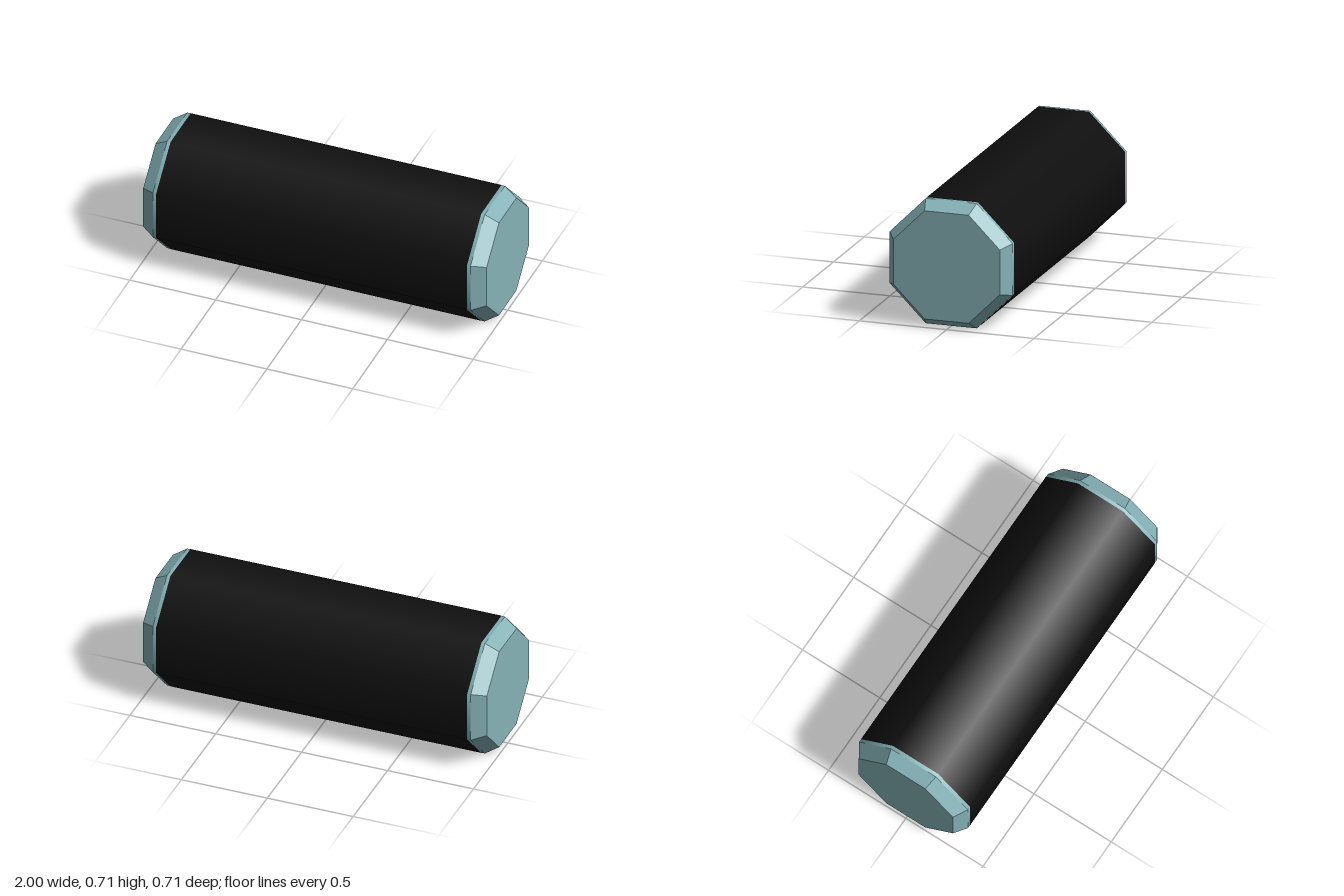
import * as THREE from 'three';

const SIDES = 8;
const CENTER_Y = 0.357;
const corner = (apothem) => apothem / Math.cos(Math.PI / SIDES);

// Octagonal surface turned around the x axis, from [apothem, x] pairs, flats facing up and front
function turned(profile, flat) {
  const points = profile.map(([a, x]) => new THREE.Vector2(corner(a), x));
  let geometry = new THREE.LatheGeometry(points, SIDES, Math.PI / SIDES);
  geometry.rotateZ(-Math.PI / 2);
  if (flat) {
    geometry = geometry.toNonIndexed();
    geometry.computeVertexNormals();
  }
  return geometry;
}

export function createModel() {
  const teal = new THREE.MeshStandardMaterial({ name: 'pale teal', color: 0x86b3b8 });
  const black = new THREE.MeshStandardMaterial({ name: 'black', color: 0x0f0f0f });
  const model = new THREE.Group();
  model.name = 'octagonalRoller';

  const add = (parent, name, geometry, material) => {
    const mesh = new THREE.Mesh(geometry, material);
    mesh.name = name;
    parent.add(mesh);
  };

  // Long smooth-shaded sleeve
  add(model, 'sleeve', turned([[0.353, -0.905], [0.353, 0.905]], false), black);

  // Matching bevelled caps at both ends
  const rim = turned([[0.352, 0.903], [0.352, 0.925]], false);
  const bevel = turned([[0.352, 0.925], [0.305, 1], [0, 1]], true);
  for (const side of [1, -1]) {
    const cap = new THREE.Group();
    cap.name = side > 0 ? 'leftCap' : 'rightCap';
    add(cap, 'rim', rim, teal);
    add(cap, 'bevelledEnd', bevel, teal);
    if (side < 0) cap.rotation.y = Math.PI;
    model.add(cap);
  }

  for (const part of model.children) part.position.y = CENTER_Y;
  return model;
}
